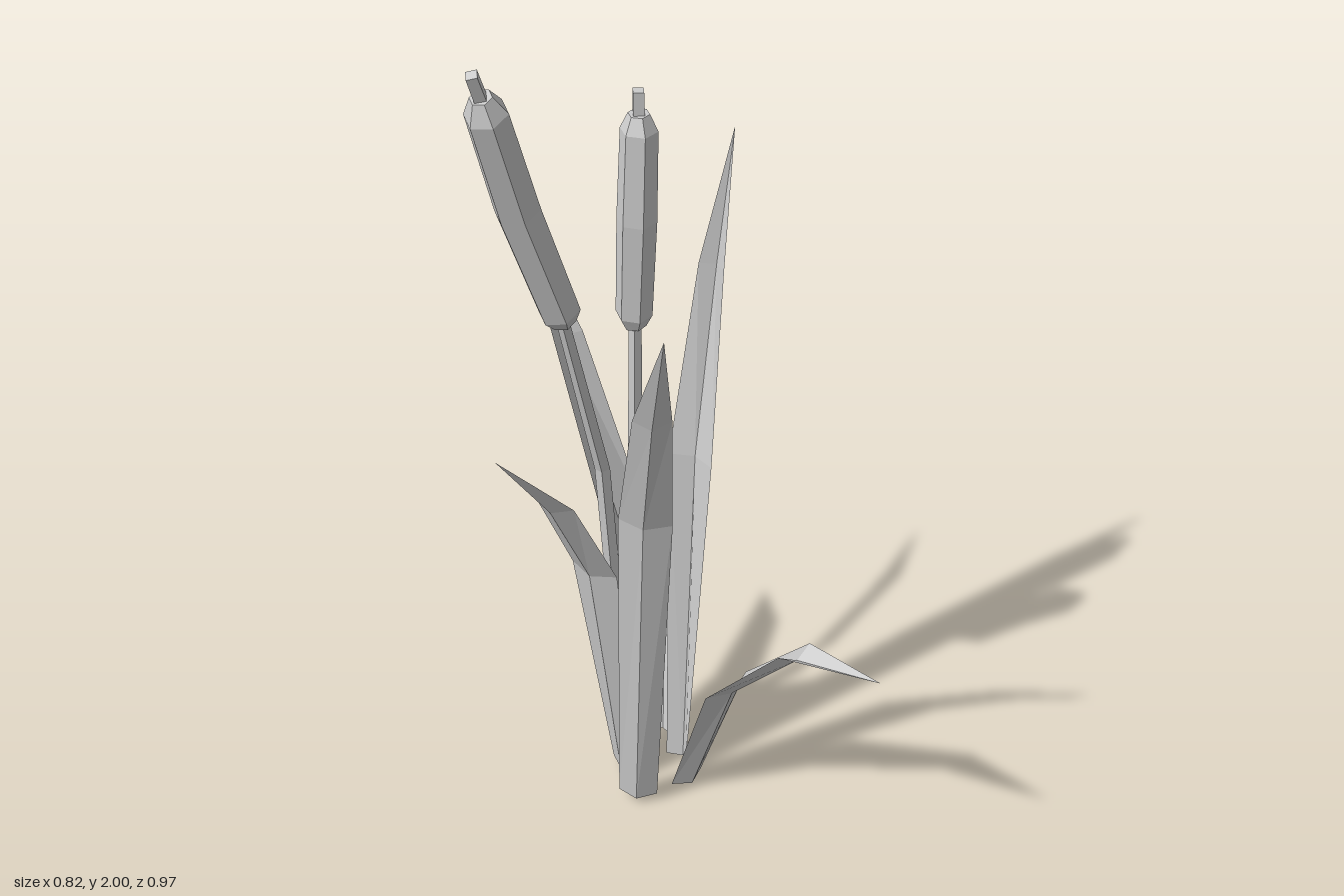
import * as THREE from 'three';

const V = (x, y, z) => new THREE.Vector3(x, y, z);
const material = new THREE.MeshStandardMaterial({ color: 0xcccccc, flatShading: true, side: THREE.DoubleSide });

function meshFrom(name, points, faces) {
  const geometry = new THREE.BufferGeometry().setFromPoints(points);
  geometry.setIndex(faces);
  geometry.computeVertexNormals();
  const mesh = new THREE.Mesh(geometry, material);
  mesh.name = name;
  return mesh;
}

// Folded blade: rows are [y, x1, z1, x2, z2] for both edges; the keel sits outward of their middle.
function leaf(name, rows, tip, depth = 0.022) {
  const left = rows.map(([y, x, z]) => V(x, y, z));
  const right = rows.map(([y, , , x, z]) => V(x, y, z));
  const end = V(...tip);
  const mids = [...left.map((p, i) => p.clone().lerp(right[i], 0.5)), end];
  const points = [], faces = [];
  rows.forEach((row, i) => {
    const along = mids[i + 1].clone().sub(mids[Math.max(i - 1, 0)]);
    const out = right[i].clone().sub(left[i]).cross(along).normalize();
    points.push(left[i], mids[i].clone().addScaledVector(out, depth), right[i]);
    for (let k = 0; k < 2; k++) {
      const a = i * 3 + k;
      if (i < rows.length - 1) faces.push(a, a + 1, a + 4, a, a + 4, a + 3);
      else faces.push(a, a + 1, rows.length * 3);
    }
  });
  points.push(end);
  return meshFrom(name, points, faces);
}

// Faceted rod: sections are [x, y, z, radius], with rings square to the path and closed ends.
function rod(name, sections, sides = 6) {
  const centres = sections.map(([x, y, z]) => V(x, y, z));
  const points = [], faces = [], last = sections.length - 1;
  sections.forEach(([, , , radius], i) => {
    const along = centres[Math.min(i + 1, last)].clone().sub(centres[Math.max(i - 1, 0)]).normalize();
    const turn = new THREE.Quaternion().setFromUnitVectors(V(0, 1, 0), along);
    for (let s = 0; s < sides; s++) {
      const a = s / sides * Math.PI * 2, b = i * sides + s, c = i * sides + (s + 1) % sides;
      points.push(V(Math.cos(a) * radius, 0, Math.sin(a) * radius).applyQuaternion(turn).add(centres[i]));
      if (i < last) faces.push(b, b + sides, c + sides, b, c + sides, c);
    }
  });
  for (let s = 1; s < sides - 1; s++) {
    faces.push(0, s, s + 1);
    const t = last * sides;
    faces.push(t, t + s + 1, t + s);
  }
  return meshFrom(name, points, faces);
}

// Stem, seed head and the spike above it
function stalk(name, stem, head, spike) {
  const group = new THREE.Group();
  group.name = name;
  group.add(rod('stem', stem, 5), rod('seedHead', head), rod('spike', spike, 4));
  return group;
}

export function createModel() {
  const model = new THREE.Group();
  model.name = 'reedPlant';

  model.add(stalk('tallStalk',
    [[0.02, 0, -0.17, 0.018], [-0.06, 0.93, -0.165, 0.017], [-0.19, 1.39, -0.145, 0.014]],
    [[-0.183, 1.365, -0.145, 0.026], [-0.193, 1.395, -0.145, 0.043], [-0.285, 1.66, -0.155, 0.046],
      [-0.364, 1.90, -0.145, 0.043], [-0.377, 1.94, -0.143, 0.022]],
    [[-0.375, 1.93, -0.143, 0.016], [-0.4, 1.995, -0.14, 0.015]]));

  model.add(stalk('shortStalk',
    [[0.05, 0, -0.15, 0.018], [0.035, 0.75, -0.16, 0.017], [0.035, 1.27, -0.155, 0.014]],
    [[0.035, 1.24, -0.157, 0.024], [0.034, 1.27, -0.157, 0.038], [0.029, 1.5, -0.142, 0.041],
      [0.034, 1.70, -0.138, 0.038], [0.034, 1.735, -0.138, 0.022]],
    [[0.034, 1.72, -0.138, 0.016], [0.033, 1.785, -0.138, 0.015]]));

  model.add(
    leaf('frontLeaf', [
      [0.02, 0.035, -0.06, 0.12, -0.045],
      [0.37, 0.01, 0.06, 0.135, 0.07],
      [0.59, 0.02, 0.25, 0.1, 0.27]], [0.07, 0.62, 0.48]),
    leaf('frontRightLeaf', [
      [0.02, -0.055, -0.14, -0.01, -0.065],
      [0.9, -0.14, -0.05, -0.085, 0.05],
      [1.24, -0.215, 0.06, -0.165, 0.12]], [-0.29, 1.53, 0.21]),
    leaf('rightLeaf', [
      [0.02, 0.02, -0.225, 0.02, -0.14],
      [0.64, -0.07, -0.25, -0.05, -0.14],
      [0.89, -0.19, -0.235, -0.17, -0.145]], [-0.335, 1.08, -0.2]),
    leaf('backLeaf', [
      [0.02, 0.135, -0.205, 0.04, -0.21],
      [0.65, 0.148, -0.232, 0.02, -0.225],
      [1.11, 0.09, -0.355, 0.015, -0.365]], [0.04, 1.39, -0.485]),
    leaf('backLeftLeaf', [
      [0.02, 0.155, -0.165, 0.145, -0.235],
      [0.25, 0.235, -0.2, 0.19, -0.29],
      [0.37, 0.355, -0.33, 0.32, -0.39]], [0.41, 0.385, -0.43], 0.018),
    leaf('leftLeaf', [
      [0.02, 0.1, -0.075, 0.105, -0.137],
      [0.85, 0.165, -0.06, 0.145, -0.163],
      [1.3, 0.235, -0.09, 0.225, -0.15]], [0.3, 1.6, -0.12]));
  return model;
}
